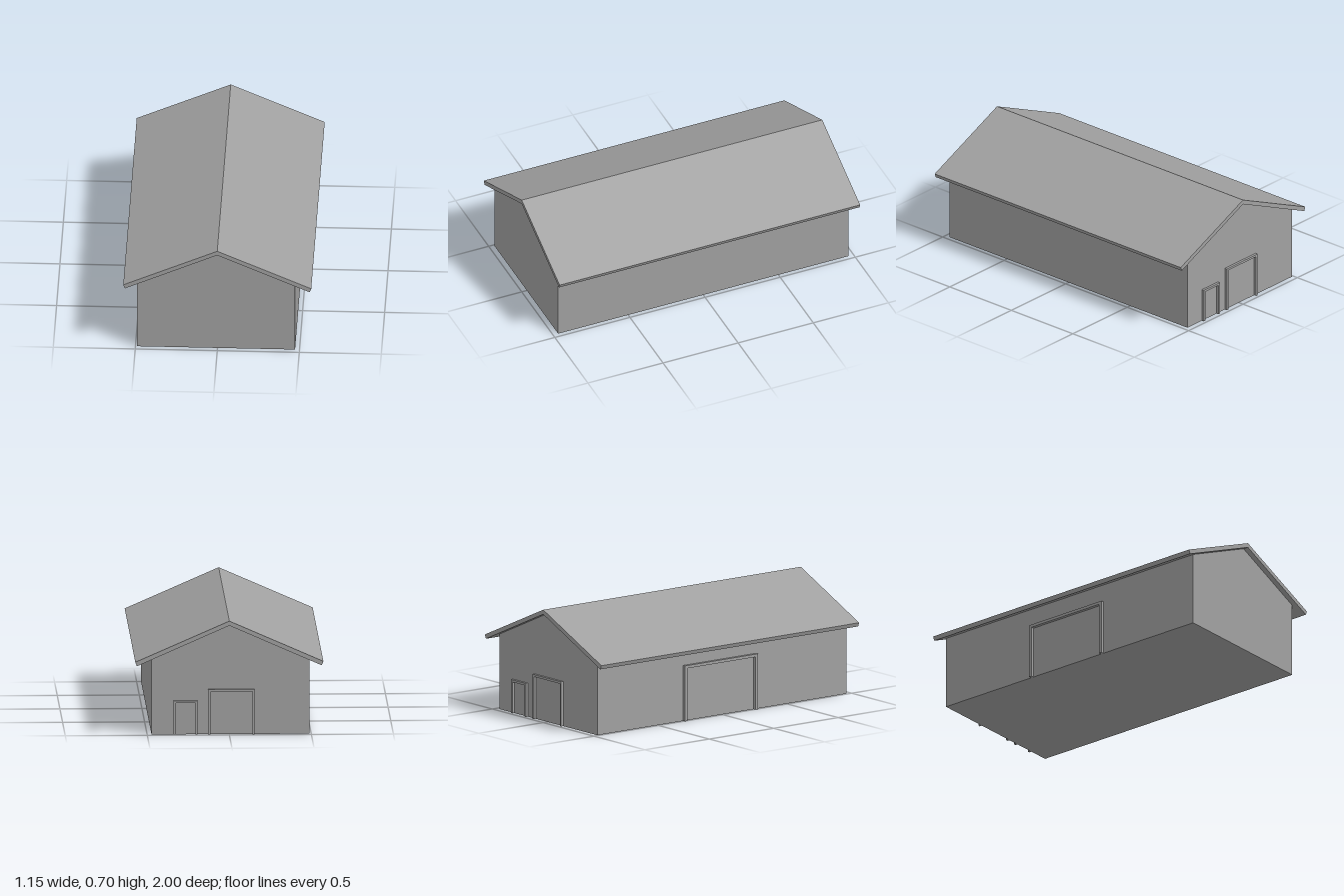
import * as THREE from 'three';

const grey = new THREE.MeshStandardMaterial({ color: 0xa0a0a0 });
grey.name = 'plain grey';

// Extrude an outline drawn in x and y along z, from z0 to z1
function prism(name, points, z0, z1) {
  const shape = new THREE.Shape(points.map(([x, y]) => new THREE.Vector2(x, y)));
  const geometry = new THREE.ExtrudeGeometry(shape, { depth: z1 - z0, bevelEnabled: false });
  geometry.translate(0, 0, z0);
  const mesh = new THREE.Mesh(geometry, grey);
  mesh.name = name;
  return mesh;
}

// Door surround: two posts and a lintel, open at the ground
function doorFrame(name, width, height, bar, depth) {
  const w = width / 2;
  const i = w - bar;
  const outline = [
    [-w, 0], [-i, 0], [-i, height - bar], [i, height - bar],
    [i, 0], [w, 0], [w, height], [-w, height],
  ];
  return prism(name, outline, 0, depth);
}

export function createModel() {
  const model = new THREE.Group();
  model.name = 'barn';

  // Walls with gable ends, tucked under the roof
  model.add(prism('walls', [
    [-0.49, 0], [0.473, 0], [0.473, 0.467], [0, 0.676], [-0.49, 0.459],
  ], -0.966, 0.966));

  // Pitched roof slab, mitred at the ridge
  model.add(prism('roof', [
    [0, 0.703], [-0.573, 0.452], [-0.563, 0.427],
    [0, 0.675], [0.563, 0.427], [0.573, 0.452],
  ], -1, 1));

  // Door frames on the back gable
  for (const [name, x, width, height] of [
    ['smallBackDoorFrame', 0.266, 0.148, 0.209],
    ['largeBackDoorFrame', -0.013, 0.284, 0.278],
  ]) {
    const frame = doorFrame(name, width, height, 0.014, 0.016);
    frame.rotation.y = Math.PI;
    frame.position.set(x, 0, -0.966);
    model.add(frame);
  }

  // Wide door frame on the long side
  const side = doorFrame('sideDoorFrame', 0.565, 0.346, 0.018, 0.019);
  side.rotation.y = -Math.PI / 2;
  side.position.set(-0.49, 0, -0.018);
  model.add(side);

  return model;
}
